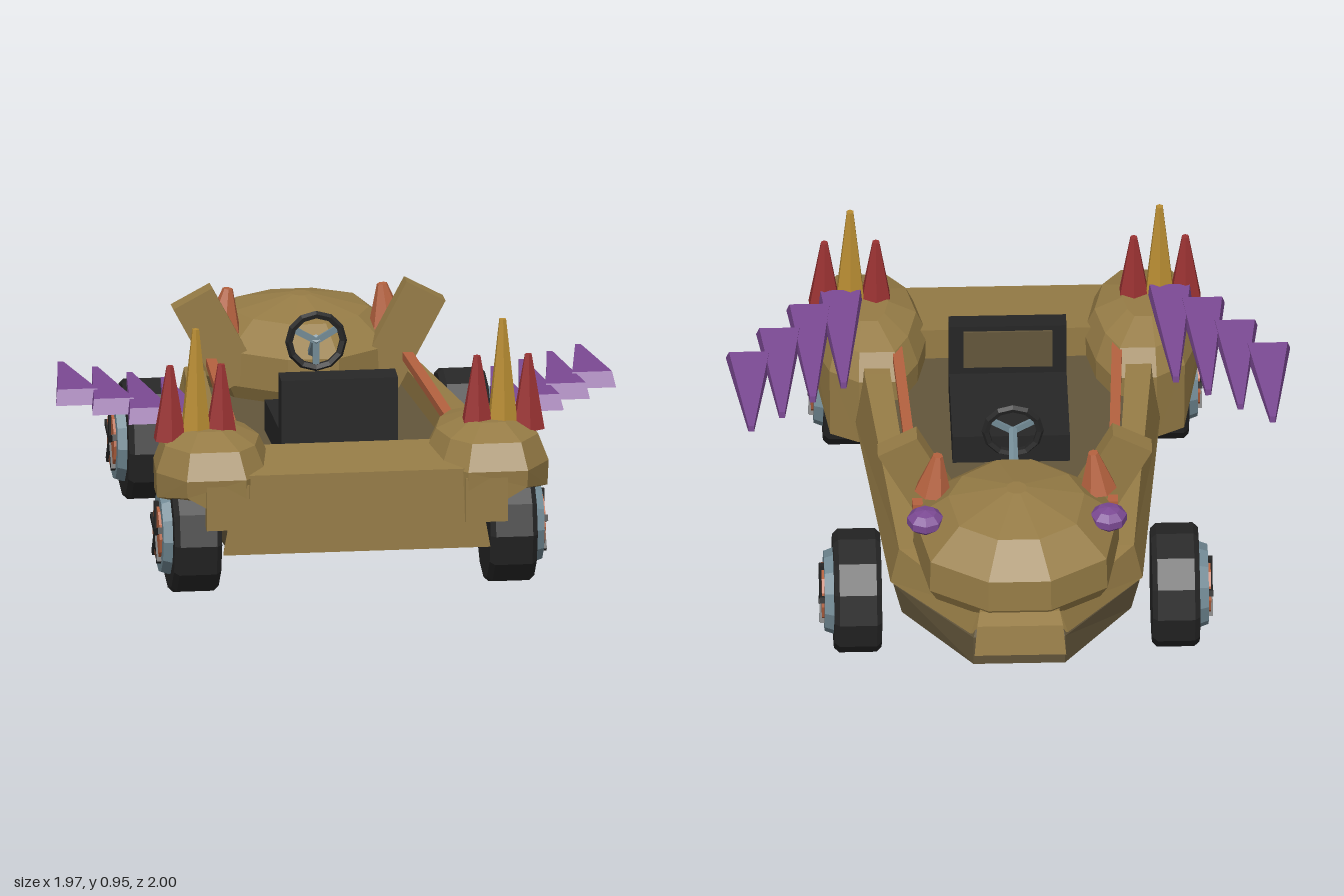
import * as THREE from 'three';

const mat = (name, color) => Object.assign(new THREE.MeshStandardMaterial({ color }), { name });

// Facets a geometry so every face has a flat normal
function faceted(geo) {
  const g = geo.index ? geo.toNonIndexed() : geo;
  g.computeVertexNormals();
  return g;
}

// Closed solid through a list of rings of [x, y, z], oriented outwards
function loft(rings) {
  const tris = [], n = rings[0].length;
  const centre = r => [0, 1, 2].map(k => r.reduce((s, p) => s + p[k], 0) / n);
  const first = rings[0], last = rings[rings.length - 1], c0 = centre(first), c1 = centre(last);
  for (let j = 0; j < n; j++) {
    const k = (j + 1) % n;
    for (let i = 0; i < rings.length - 1; i++) {
      const a = rings[i][j], b = rings[i][k], c = rings[i + 1][k], d = rings[i + 1][j];
      tris.push([a, b, c], [a, c, d]);
    }
    tris.push([c0, first[k], first[j]], [c1, last[j], last[k]]);
  }
  const v = p => new THREE.Vector3(...p);
  const mid = v(c0).add(v(c1)).multiplyScalar(0.5);
  const volume = tris.reduce((s, [a, b, c]) =>
    s + v(a).sub(mid).dot(v(b).sub(mid).cross(v(c).sub(mid))), 0);
  const pos = tris.flatMap(t => (volume < 0 ? [t[0], t[2], t[1]] : t).flat());
  const g = new THREE.BufferGeometry();
  g.setAttribute('position', new THREE.Float32BufferAttribute(pos, 3));
  return g;
}

// Full plan outline from one half, listed from nose to tail
const mirrored = half => [...half, ...half.map(([x, z]) => [-x, z]).reverse()];
const planRing = (half, y) => mirrored(half).map(([x, z]) => [x, y, z]);
const rect = (x0, x1, y0, y1, z) => [[x0, y0, z], [x1, y0, z], [x1, y1, z], [x0, y1, z]];

export function createModel() {
  const M = {
    tan: mat('tan body', 0x967c46),
    brown: mat('dark brown', 0x63563b),
    black: mat('black', 0x262626),
    steel: mat('blue grey', 0x728a95),
    orange: mat('burnt orange', 0xb5623f),
    purple: mat('purple', 0x7c4a94),
    red: mat('dark red', 0x9a3232),
    gold: mat('gold', 0xb98d33),
  };
  const root = new THREE.Group();
  root.name = 'kart';
  const add = (name, geo, material, x = 0, y = 0, z = 0, parent = root) => {
    const m = new THREE.Mesh(faceted(geo), material);
    m.name = name;
    m.position.set(x, y, z);
    parent.add(m);
    return m;
  };
  const box = (w, h, d) => new THREE.BoxGeometry(w, h, d);

  // Lower hull and cockpit floor
  add('lowerHull', loft([
    planRing([[0.16, -0.88], [0.40, -0.56], [0.46, 0.5], [0.44, 0.96]], 0.18),
    planRing([[0.16, -0.89], [0.43, -0.56], [0.51, 0.5], [0.46, 0.96]], 0.30),
    planRing([[0.14, -0.86], [0.38, -0.55], [0.44, 0.5], [0.42, 0.9]], 0.38),
  ]), M.brown);

  // Rear deck and tail panel
  add('rearDeck', loft([
    [[-0.47, 0.185, 0.98], [0.47, 0.185, 0.98], [0.42, 0.47, 0.98], [-0.42, 0.47, 0.98]],
    rect(-0.42, 0.42, 0.19, 0.5, 0.68),
  ]), M.tan);

  // Nose block
  add('nose', loft([
    rect(-0.13, 0.13, 0.30, 0.43, -0.8),
    rect(-0.14, 0.14, 0.30, 0.43, -0.92),
    [[-0.16, 0.30, -1], [0.16, 0.30, -1], [0.15, 0.41, -0.98], [-0.15, 0.41, -0.98]],
  ]), M.tan);

  // Domed hood
  const hoodHalf = [[0.11, -0.93], [0.31, -0.80], [0.36, -0.52], [0.28, -0.34], [0.09, -0.2]];
  add('hood', loft([[0.39, 0.92], [0.44, 1], [0.56, 0.99], [0.655, 0.66], [0.705, 0.1]].map(
    ([y, s]) => planRing(hoodHalf.map(([x, z]) => [x * s, -0.56 + (z + 0.56) * s]), y))), M.tan);

  // Seat
  add('seatCushion', box(0.41, 0.12, 0.42), M.black, 0, 0.43, 0.26);
  add('seatBack', loft([rect(-0.205, 0.205, 0.4, 0.69, 0.43), rect(-0.205, 0.205, 0.4, 0.68, 0.51)]), M.black);
  add('seatBackPanel', box(0.31, 0.15, 0.009), M.brown, 0, 0.595, 0.427);

  // Steering wheel
  const steering = new THREE.Group();
  steering.name = 'steeringWheel';
  steering.position.set(0, 0.645, -0.135);
  root.add(steering);
  add('steeringRim', new THREE.TorusGeometry(0.095, 0.014, 5, 12), M.black, 0, 0, 0, steering);
  for (const a of [0, 2.1, 4.2]) {
    const spoke = add('steeringSpoke', box(0.022, 0.09, 0.012), M.steel,
      -Math.sin(a + Math.PI) * 0.045, Math.cos(a + Math.PI) * 0.045, 0, steering);
    spoke.rotation.z = a;
  }
  add('steeringColumn', new THREE.CylinderGeometry(0.016, 0.02, 0.16, 6), M.steel, 0, -0.04, -0.06, steering)
    .rotation.x = 0.9;

  // Wheel built around a sideways axle
  const axle = (geo, s) => geo.rotateZ(-s * Math.PI / 2);
  function wheel(name, s, z) {
    const g = new THREE.Group();
    g.name = name;
    g.position.set(s * 0.555, 0.22, z);
    root.add(g);
    const profile = [[0, -0.083], [0.2, -0.083], [0.217, -0.065], [0.217, 0.065], [0.2, 0.083], [0, 0.083]]
      .map(p => new THREE.Vector2(...p));
    add('tire', axle(new THREE.LatheGeometry(profile, 12), s), M.black, 0, 0, 0, g);
    add('rim', axle(new THREE.CylinderGeometry(0.14, 0.155, 0.04, 12), s), M.steel, s * 0.095, 0, 0, g);
    add('hubDisc', axle(new THREE.CylinderGeometry(0.1, 0.1, 0.02, 12), s), M.orange, s * 0.114, 0, 0, g);
    for (let i = 0; i < 5; i++) {
      const a = i * Math.PI * 2 / 5;
      add('spoke', box(0.02, 0.115, 0.022), M.black,
        s * 0.121, Math.cos(a) * 0.055, Math.sin(a) * 0.055, g).rotation.x = a;
    }
  }

  // Fender outline: x, z, lower edge height
  const fender = [[0.27, 0.72, 0.25], [0.31, 0.54, 0.25], [0.37, 0.43, 0.28], [0.52, 0.43, 0.2],
    [0.62, 0.5, 0.19], [0.675, 0.66, 0.35], [0.69, 0.86, 0.37], [0.6, 1, 0.4], [0.39, 1, 0.28], [0.31, 0.9, 0.28]];
  // Feathers: tip x, tip z, base z
  const feathers = [[0.58, 0.2, 0.77], [0.69, 0.12, 0.69], [0.8, 0.03, 0.55], [0.91, -0.05, 0.41]];

  for (const s of [1, -1]) {
    const side = s > 0 ? 'left' : 'right';
    wheel(side + 'FrontWheel', s, -0.48);
    wheel(side + 'RearWheel', s, 0.77);

    // Side wall, tapering towards the nose
    const wall = (xi, xo, y0, y1, z) =>
      [[s * xi, y0, z], [s * xo, y0, z], [s * (xo - 0.03), y1, z], [s * xi, y1, z]];
    add(side + 'SideWall', loft([
      wall(0.42, 0.54, 0.28, 0.51, 0.7), wall(0.41, 0.53, 0.285, 0.5, 0.42),
      wall(0.34, 0.44, 0.31, 0.45, -0.56), wall(0.1, 0.17, 0.31, 0.41, -0.88),
    ]), M.tan);

    // Rear fender
    add(side + 'Fender', loft([[0, 0.98], [0.46, 1], [0.55, 0.82], [0.595, 0.4]].map(([y, k]) =>
      fender.map(([x, z, low]) => [s * (0.5 + (x - 0.5) * k), y || low, 0.73 + (z - 0.73) * k]))), M.tan);
    add(side + 'FenderPlate', box(0.15, 0.16, 0.04), M.tan, s * 0.455, 0.36, 0.978);
    add(side + 'FenderStud', new THREE.ConeGeometry(0.025, 0.07, 3), M.tan, s * 0.38, 0.52, 0.88)
      .rotation.x = 0.6;

    // Spikes on the fender
    const spike = (x, y0, y1, r, m) => add(side + 'Spike',
      new THREE.CylinderGeometry(0.013, r, y1 - y0, 6), m, s * x, (y0 + y1) / 2, 0.77);
    spike(0.45, 0.555, 0.82, 0.062, M.red);
    spike(0.63, 0.555, 0.82, 0.062, M.red);
    spike(0.54, 0.565, 0.95, 0.058, M.gold);

    // Swept feathers
    for (const [x, tip, base] of feathers) {
      const cx = s * (x - 0.005);
      add(side + 'Feather', loft([
        [[cx - 0.08, 0.59, base], [cx + 0.08, 0.59, base],
          [cx + 0.07, 0.64, base - 0.035], [cx - 0.07, 0.64, base - 0.035]],
        rect(s * x - 0.01, s * x + 0.01, 0.6, 0.625, tip),
      ]), M.purple);
    }

    // Rail from fender to hood
    const rail = (x, z) => rect(s * x - 0.018, s * x + 0.018, 0.515, 0.545, z);
    add(side + 'Rail', loft([rail(0.385, 0.55), rail(0.34, -0.43)]), M.orange);

    // Leaning slab, horn and eye knob beside the hood
    add(side + 'Slab', box(0.155, 0.35, 0.075), M.tan, s * 0.328, 0.608, -0.352).rotation.z = -s * 0.49;
    add(side + 'Horn', new THREE.CylinderGeometry(0.018, 0.066, 0.15, 7), M.orange, s * 0.28, 0.688, -0.44)
      .rotation.z = s * 0.12;
    add(side + 'Knob', new THREE.SphereGeometry(0.067, 8, 5).scale(1, 0.65, 1), M.purple, s * 0.32, 0.61, -0.615);
  }
  return root;
}
